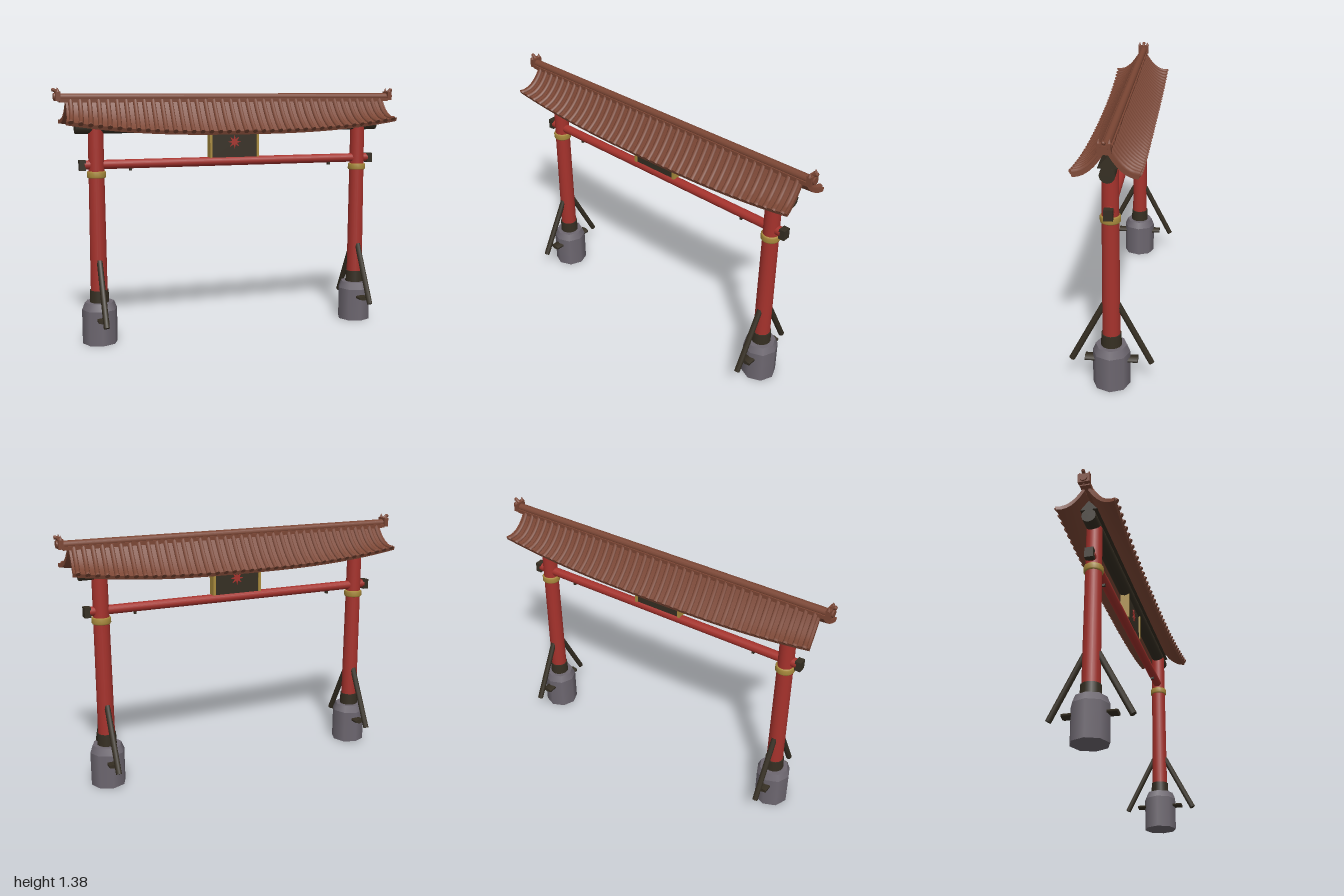
import * as THREE from 'three';
import { toCreasedNormals } from 'three/addons/utils/BufferGeometryUtils.js';

const paint = (name, color, extra = {}) => {
  const m = new THREE.MeshStandardMaterial({ color, ...extra });
  m.name = name;
  return m;
};

export function createModel() {
  const red = paint('red lacquer', 0xa5322c);
  const dark = paint('dark timber', 0x352e22);
  const stone = paint('grey stone', 0x6d6770);
  const gold = paint('gold', 0xa88a3c);
  const tile = paint('brown tile', 0x7b4634, { side: THREE.DoubleSide });

  const model = new THREE.Group();
  model.name = 'gate';
  const add = (parent, name, geo, mat, x = 0, y = 0, z = 0) => {
    const mesh = new THREE.Mesh(geo, mat);
    mesh.name = name;
    mesh.position.set(x, y, z);
    parent.add(mesh);
    return mesh;
  };
  const box = (w, h, d) => new THREE.BoxGeometry(w, h, d);
  const cyl = (rt, rb, h, n = 20) => new THREE.CylinderGeometry(rt, rb, h, n);
  const alongX = (r, len, n) => cyl(r, r, len, n).rotateZ(Math.PI / 2);

  // Posts with stone feet, collars and slanted braces
  for (const side of [-1, 1]) {
    const post = new THREE.Group();
    post.name = side > 0 ? 'leftPost' : 'rightPost';
    post.position.x = side * 0.775;
    model.add(post);
    add(post, 'stoneFoot', cyl(0.096, 0.096, 0.188, 8), stone, 0, 0.094);
    add(post, 'stoneFootTop', cyl(0.08, 0.096, 0.04, 8), stone, 0, 0.208);
    add(post, 'footCollar', cyl(0.051, 0.053, 0.066), dark, 0, 0.26);
    add(post, 'column', cyl(0.041, 0.046, 0.94), red, 0, 0.7);
    const ring = [[0.04, -0.018], [0.047, -0.018], [0.051, -0.012], [0.051, 0.012], [0.047, 0.018], [0.04, 0.018]];
    add(post, 'goldRing', new THREE.LatheGeometry(ring.map(p => new THREE.Vector2(...p)), 20), gold, 0, 0.923);
    add(post, 'footPeg', cyl(0.016, 0.016, 0.27, 6).rotateX(Math.PI / 2).scale(2, 0.8, 1), dark, 0, 0.145);
    for (const s of [-1, 1]) {
      const brace = add(post, 'brace', cyl(0.016, 0.016, 0.37, 8), dark, 0, 0.293, s * 0.119);
      brace.rotation.x = -s * Math.atan2(0.165, 0.32);
    }
    // Ends of the tie beam and its small wedges
    add(model, 'tieBeamCap', box(0.034, 0.055, 0.045), dark, side * 0.85, 0.973);
    add(model, 'tieBeamWedge', box(0.012, 0.016, 0.02), dark, side * 0.59, 0.946);
  }
  add(model, 'tieBeam', alongX(0.025, 1.68, 16), red, 0, 0.975);

  // Top beam and the ridge timber above it
  add(model, 'topBeam', alongX(0.038, 1.77, 12), dark, 0, 1.178);
  const wedge = new THREE.Shape([[-0.045, 0], [0.045, 0], [0, 0.054]].map(p => new THREE.Vector2(...p)));
  add(model, 'ridgeTimber',
    new THREE.ExtrudeGeometry(wedge, { depth: 1.77, bevelEnabled: false }).translate(0, 0, -0.885).rotateY(Math.PI / 2),
    dark, 0, 1.213);

  // Plaque with gilded sides and a rosette on both faces
  const plaque = new THREE.Group();
  plaque.name = 'plaque';
  model.add(plaque);
  add(plaque, 'plaquePanel', box(0.27, 0.165, 0.036), dark, 0, 1.08);
  for (const s of [-1, 1]) add(plaque, 'plaqueFrame', box(0.014, 0.165, 0.052), gold, s * 0.138, 1.08);
  const star = new THREE.Shape();
  for (let i = 0; i < 16; i++) {
    const a = i * Math.PI / 8, r = i % 2 ? 0.016 : 0.038;
    star[i ? 'lineTo' : 'moveTo'](r * Math.sin(a), r * Math.cos(a));
  }
  const rosette = new THREE.ExtrudeGeometry(star, { depth: 0.004, bevelEnabled: false });
  for (const s of [-1, 1]) add(plaque, 'rosette', rosette, red, 0, 1.083, s * 0.018).rotation.y = s > 0 ? 0 : Math.PI;

  // Roof surface: u runs -1..1 along the ridge, t runs 0..1 from ridge to eave
  const roofPoint = (u, t, sink = 0) => new THREE.Vector3(
    u * (0.93 + 0.02 * t * t),
    1.318 - 0.168 * (1.35 * t - 0.35 * t * t) + 0.062 * t * t * Math.abs(u) ** 2.6 - sink,
    0.015 + 0.132 * t + 0.008 * t * t * u * u - sink * 0.35);

  const slabGeometry = () => {
    const nu = 32, nt = 6, pos = [], idx = [], n = 2 * (nt + 1);
    for (let i = 0; i <= nu; i++) {
      const u = i / nu * 2 - 1;
      for (let j = 0; j < n; j++) {
        const p = j <= nt ? roofPoint(u, j / nt) : roofPoint(u, (n - 1 - j) / nt, 0.02);
        pos.push(p.x, p.y, p.z);
      }
    }
    const quad = (a, b, c, d) => idx.push(a, b, c, a, c, d);
    for (let i = 0; i < nu; i++) for (let j = 0; j < n; j++) {
      const k = (j + 1) % n;
      quad(i * n + j, i * n + k, (i + 1) * n + k, (i + 1) * n + j);
    }
    for (let j = 0; j < nt; j++) {
      const e = nu * n;
      quad(j, n - 1 - j, n - 2 - j, j + 1);
      quad(e + j, e + j + 1, e + n - 2 - j, e + n - 1 - j);
    }
    const g = new THREE.BufferGeometry();
    g.setAttribute('position', new THREE.Float32BufferAttribute(pos, 3));
    g.setIndex(idx);
    return toCreasedNormals(g, 0.7);
  };

  const slab = slabGeometry();
  const rolls = 38;
  for (const s of [0, 1]) {
    const slope = new THREE.Group();
    slope.name = s ? 'backRoofSlope' : 'frontRoofSlope';
    slope.rotation.y = s * Math.PI;
    model.add(slope);
    add(slope, 'roofSlab', slab, tile);
    for (let i = 0; i < rolls; i++) {
      const u = (i + 0.5) / rolls * 2 - 1;
      const path = new THREE.CatmullRomCurve3([0, 0.25, 0.5, 0.75, 1].map(t => roofPoint(u, t)));
      add(slope, 'tileRoll', new THREE.TubeGeometry(path, 8, 0.013, 8), tile);
      const end = roofPoint(u, 1);
      add(slope, 'tileRollEnd', cyl(0.014, 0.014, 0.01, 8).rotateX(Math.PI / 2 + 0.7), tile, end.x, end.y, end.z);
    }
  }

  // Ridge cap with a curled ornament at each end
  add(model, 'ridgeBase', box(1.92, 0.02, 0.054), tile, 0, 1.315);
  add(model, 'ridgeRoll', alongX(0.021, 1.94, 12), tile, 0, 1.331);
  for (const s of [-1, 1]) {
    const ornament = new THREE.Group();
    ornament.name = 'ridgeOrnament';
    ornament.position.x = s * 0.97;
    model.add(ornament);
    add(ornament, 'ornamentBlock', box(0.026, 0.05, 0.062), tile, 0, 1.337);
    add(ornament, 'ornamentDisc', alongX(0.02, 0.012, 12), tile, s * 0.015, 1.335);
    const curl = new THREE.CatmullRomCurve3([[-0.005, 1.35], [0.008, 1.363], [0.02, 1.37], [0.028, 1.37]]
      .map(([x, y]) => new THREE.Vector3(s * x, y, 0)));
    add(ornament, 'ornamentCurl', new THREE.TubeGeometry(curl, 8, 0.009, 8), tile);
    add(ornament, 'ornamentCurlTip', new THREE.SphereGeometry(0.01, 8, 6), tile, s * 0.02, 1.37);
    for (const z of [-0.024, 0.024])
      add(ornament, 'ornamentHorn', new THREE.ConeGeometry(0.011, 0.024, 8), tile, 0, 1.37, z);
  }
  return model;
}
